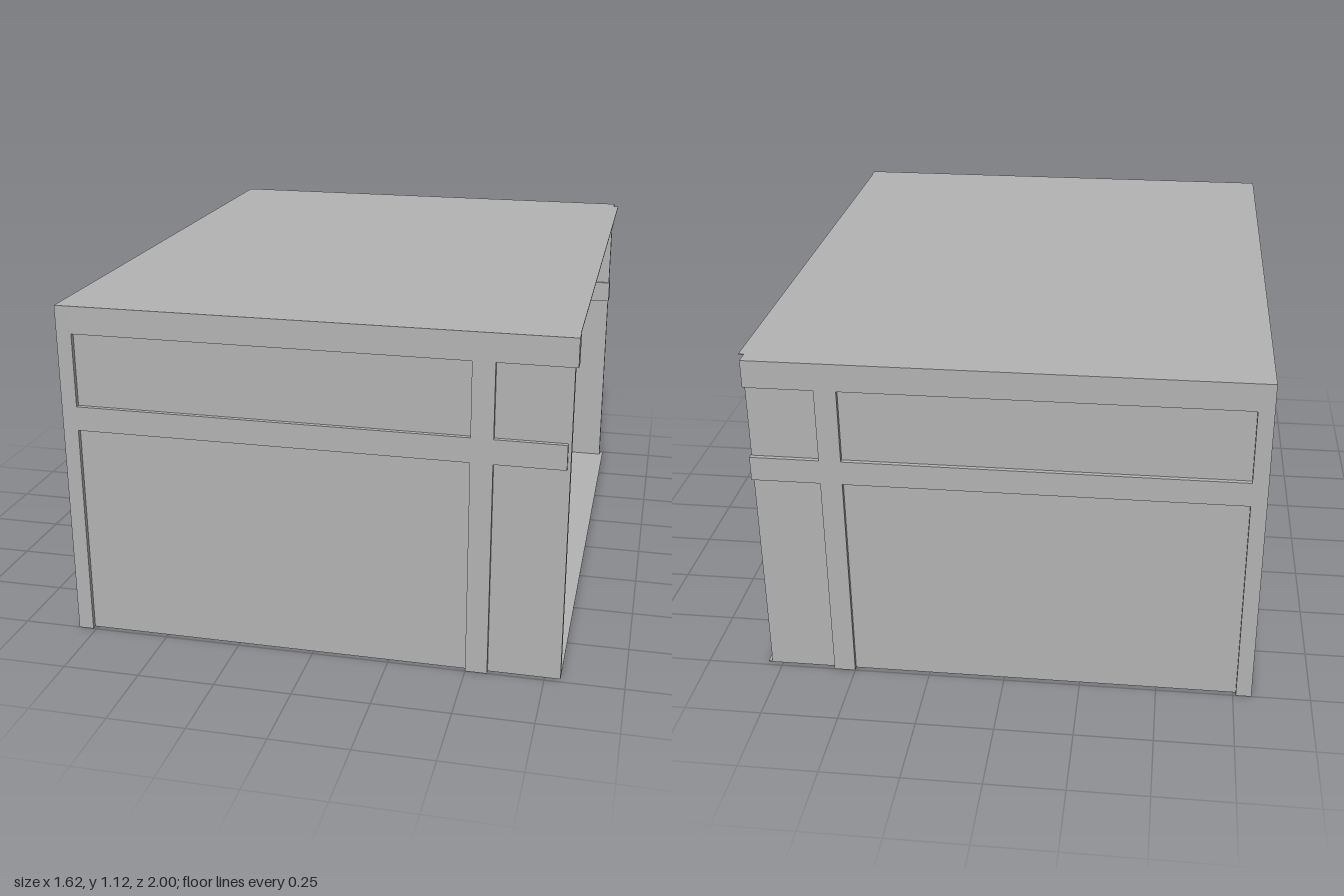
import * as THREE from 'three';

export function createModel() {
  const model = new THREE.Group();
  const grey = new THREE.MeshStandardMaterial({ color: 0xb3b3b3 });
  grey.name = 'plain grey';

  // Box given by its limits on each axis
  function box(name, x0, x1, y0, y1, z0, z1) {
    const mesh = new THREE.Mesh(new THREE.BoxGeometry(x1 - x0, y1 - y0, z1 - z0), grey);
    mesh.position.set((x0 + x1) / 2, (y0 + y1) / 2, (z0 + z1) / 2);
    mesh.name = name;
    model.add(mesh);
  }

  const H = 1.12, TOP = 1.03, MID = [0.71, 0.79];
  const outer = -0.81, inner = -0.76;

  // Floor and roof sheets
  box('floor', -0.8, 0.8, 0.001, 0.004, -0.985, 0.985);
  box('roof', -0.808, 0.808, H - 0.004, H, -0.951, 0.951);

  // Front and back walls: thin panel set inside a frame of posts and beams
  for (const side of [1, -1]) {
    const label = side > 0 ? 'front' : 'back';
    const wall = (part, x0, x1, y0, y1, a, b) =>
      box(label + part, x0, x1, y0, y1, Math.min(side * a, side * b), Math.max(side * a, side * b));
    const topEnd = side > 0 ? 0.81 : 0.79;
    wall('Panel', inner, side > 0 ? 0.8 : 0.787, 0.002, TOP, 0.96, 0.985);
    wall('TopBeam', inner, topEnd, TOP, H, 0.95, 1);
    wall('MiddleBeam', inner, 0.79, MID[0], MID[1], 0.95, 1);
    wall('CornerPost', outer, inner, 0, H, 0.95, 1);
    wall('LowerPost', 0.5, 0.57, 0, MID[0], 0.95, 1);
    wall('UpperPost', 0.5, 0.57, MID[1], TOP, 0.95, 1);
  }

  // Side wall with the wide doorway
  box('sideTopBeam', outer, inner, TOP, H, -0.95, 0.95);
  box('sideMiddleBeam', outer, inner, MID[0], MID[1], -0.95, 0.95);
  box('sideUpperPanel', -0.797, -0.772, MID[1], TOP, -0.95, 0.95);
  for (const [z0, z1] of [[0.73, 0.95], [-0.95, -0.66]])
    box('sideLowerPanel', -0.797, -0.772, 0.002, MID[0], z0, z1);
  for (const [z0, z1] of [[0.66, 0.73], [0, 0.07], [-0.66, -0.6]])
    box('sideUpperPost', outer, inner, MID[1], TOP, z0, z1);
  for (const [z0, z1] of [[0.66, 0.73], [-0.66, -0.6]])
    box('doorPost', outer, inner, 0, MID[0], z0, z1);

  return model;
}
